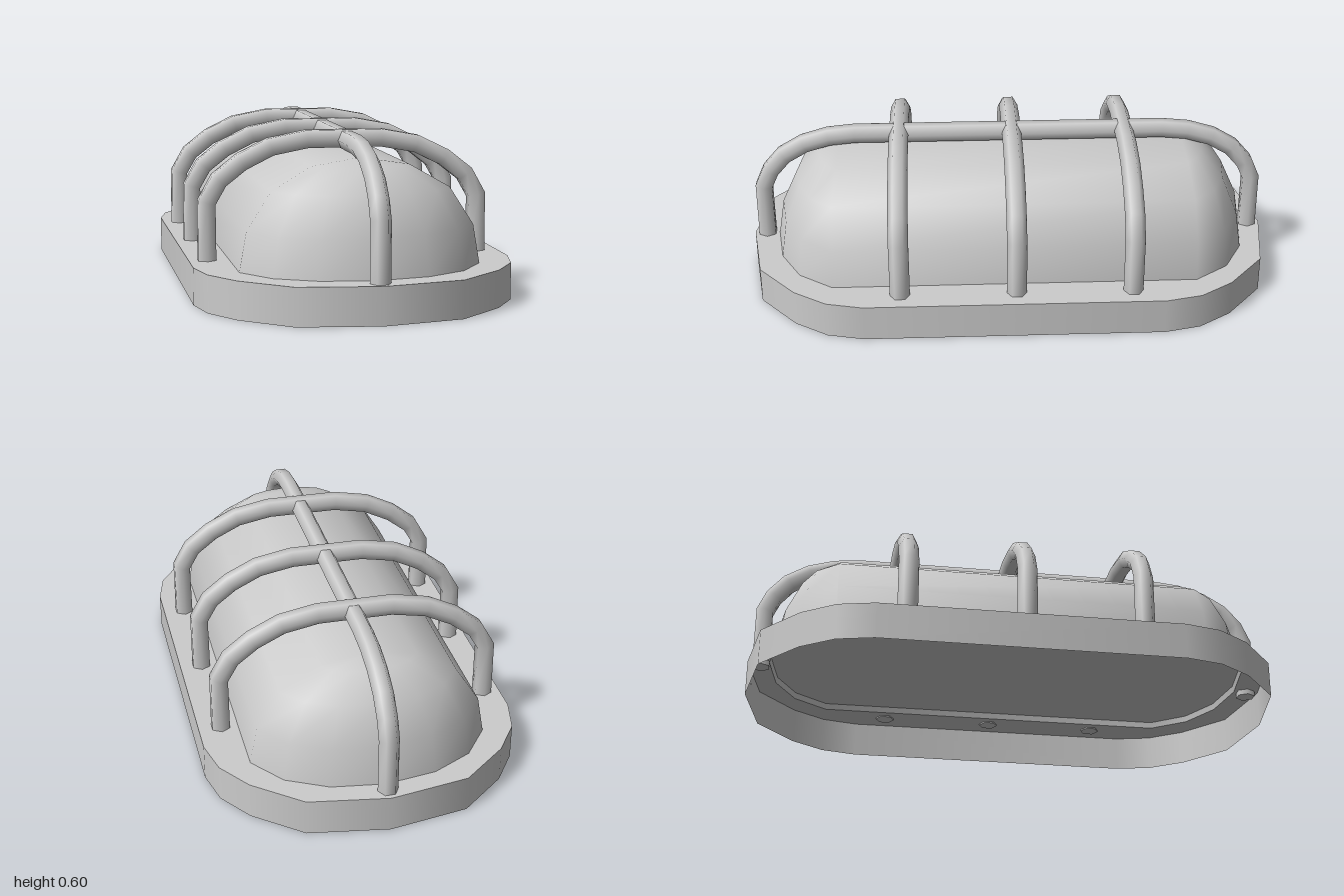
import * as THREE from 'three';
import { mergeVertices } from 'three/addons/utils/BufferGeometryUtils.js';

const PLATE_Y = 0.135;
const material = new THREE.MeshStandardMaterial({ color: 0xcccccc });
const thin = new THREE.MeshStandardMaterial({ color: 0xcccccc, side: THREE.DoubleSide });

function addMesh(parent, name, geometry, mat = material) {
  const mesh = new THREE.Mesh(geometry, mat);
  mesh.name = name;
  parent.add(mesh);
  return mesh;
}

// Mirrors a quarter outline, running from the +x side to the +z end, into a closed loop of [x, z]
function mirrorOutline(quarter) {
  const back = quarter.slice(0, -1).reverse().map(([x, z]) => [-x, z]);
  const half = [...quarter, ...back];
  return [...half, ...half.map(([x, z]) => [-x, -z])];
}

// Smooth normals weighted by corner angle, so long faces do not dominate short ones
function smoothNormals(geometry) {
  const { position } = geometry.attributes;
  const sums = Array.from({ length: position.count }, () => new THREE.Vector3());
  const index = geometry.index.array;
  for (let t = 0; t < index.length; t += 3) {
    const ids = [index[t], index[t + 1], index[t + 2]];
    const corners = ids.map((i) => new THREE.Vector3().fromBufferAttribute(position, i));
    const normal = new THREE.Triangle(...corners).getNormal(new THREE.Vector3());
    if (normal.lengthSq() === 0) continue;
    ids.forEach((id, k) => {
      const u = corners[(k + 1) % 3].clone().sub(corners[k]);
      const v = corners[(k + 2) % 3].clone().sub(corners[k]);
      sums[id].addScaledVector(normal, u.angleTo(v));
    });
  }
  const normals = sums.flatMap((n) => n.normalize().toArray());
  geometry.setAttribute('normal', new THREE.Float32BufferAttribute(normals, 3));
}

// Skins a stack of horizontal loops { y, loop }
function loft(levels) {
  const n = levels[0].loop.length;
  const positions = levels.flatMap(({ y, loop }) => loop.flatMap(([x, z]) => [x, y, z]));
  const index = [];
  for (let j = 0; j < levels.length - 1; j++) {
    for (let i = 0; i < n; i++) {
      const a = j * n + i, b = j * n + (i + 1) % n;
      index.push(a, a + n, b, b, a + n, b + n);
    }
  }
  const geometry = new THREE.BufferGeometry();
  geometry.setAttribute('position', new THREE.Float32BufferAttribute(positions, 3));
  geometry.setIndex(index);
  const merged = mergeVertices(geometry, 1e-4);
  smoothNormals(merged);
  return merged;
}

// Flat horizontal sheet, with an optional hole
function sheet(loop, y, hole) {
  const toPoints = (l) => l.map(([x, z]) => new THREE.Vector2(x, -z));
  const shape = new THREE.Shape(toPoints(loop));
  if (hole) shape.holes.push(new THREE.Path(toPoints(hole)));
  return new THREE.ShapeGeometry(shape).rotateX(-Math.PI / 2).translate(0, y, 0);
}

// Path that keeps its corner points, so the bars bend in straight facets
class CornerPath extends THREE.Curve {
  constructor(points) {
    super();
    this.points = points;
  }
  getPointAt(u, target = new THREE.Vector3()) {
    return target.copy(this.points[Math.round(u * (this.points.length - 1))]);
  }
  getTangentAt(u, target = new THREE.Vector3()) {
    const p = this.points, i = Math.round(u * (p.length - 1));
    target.set(0, 0, 0);
    if (i > 0) target.add(p[i].clone().sub(p[i - 1]).normalize());
    if (i < p.length - 1) target.add(p[i + 1].clone().sub(p[i]).normalize());
    return target.normalize();
  }
}

// Arched six-sided guard bar along x, from half of its profile [x, y], foot first
function guardBar(name, half) {
  const bar = new THREE.Group();
  bar.name = name;
  const radius = 0.037;
  const profile = [...half, ...half.slice().reverse().map(([x, y]) => [-x, y])];
  const points = profile.map(([x, y]) => new THREE.Vector3(x, y, 0));
  addMesh(bar, 'barTube', new THREE.TubeGeometry(new CornerPath(points), points.length - 1, radius, 6, false));
  for (const side of [-1, 1]) {
    const cap = addMesh(bar, 'barEnd', new THREE.CircleGeometry(radius, 6, Math.PI / 2).rotateX(Math.PI / 2));
    cap.position.set(side * half[0][0], half[0][1], 0);
  }
  return bar;
}

export function createModel() {
  const model = new THREE.Group();
  model.name = 'bulkheadLamp';

  // Base: thin rim, open below, with a plate on top
  const baseLoop = mirrorOutline([[0.577, 0.555], [0.545, 0.69], [0.46, 0.813], [0.29, 0.953], [0, 1]]);
  // Lens outline for a half width, the half length of its straight sides and the depth of its ends
  const lensLoop = (width, straight, depth) =>
    mirrorOutline([[1, 0], [0.78, 0.55], [0.44, 0.88], [0, 1]]
      .map(([u, v]) => [u * width, straight + v * depth]))
      .map(([x, z]) => [x, z - 0.007]);
  const base = new THREE.Group();
  base.name = 'base';
  model.add(base);
  addMesh(base, 'baseRim', loft([{ y: 0, loop: baseLoop }, { y: PLATE_Y, loop: baseLoop }]), thin);
  addMesh(base, 'basePlate', sheet(baseLoop, PLATE_Y, lensLoop(0.432, 0.68, 0.231)), thin);

  // Domed lens and the flat panel that closes it from below
  const lensLevels = [
    [PLATE_Y, 0.432, 0.68, 0.231], [0.276, 0.407, 0.68, 0.207], [0.412, 0.32, 0.675, 0.149],
    [0.495, 0.175, 0.665, 0.072], [0.522, 0, 0.66, 0],
  ];
  addMesh(model, 'lens', loft(lensLevels.map(([y, ...size]) => ({ y, loop: lensLoop(...size) }))), thin);
  addMesh(model, 'lensBackPanel', sheet(lensLoop(0.427, 0.68, 0.226), 0.158), thin);

  // Guard cage: three cross bars and one long bar
  const cage = new THREE.Group();
  cage.name = 'guardCage';
  model.add(cage);
  const crossProfile = [
    [0.503, 0.13], [0.503, 0.345], [0.458, 0.424], [0.376, 0.488], [0.27, 0.54], [0.137, 0.565],
  ];
  for (const z of [-0.441, -0.01, 0.421]) {
    const bar = guardBar('crossBar', crossProfile);
    bar.position.set(-0.008, 0, z);
    cage.add(bar);
  }
  const longBar = guardBar('longBar', [
    [0.95, 0.115], [0.95, 0.345], [0.92, 0.412], [0.865, 0.475], [0.785, 0.522], [0.69, 0.55], [0.59, 0.56],
  ]);
  longBar.rotation.y = Math.PI / 2;
  cage.add(longBar);

  return model;
}
